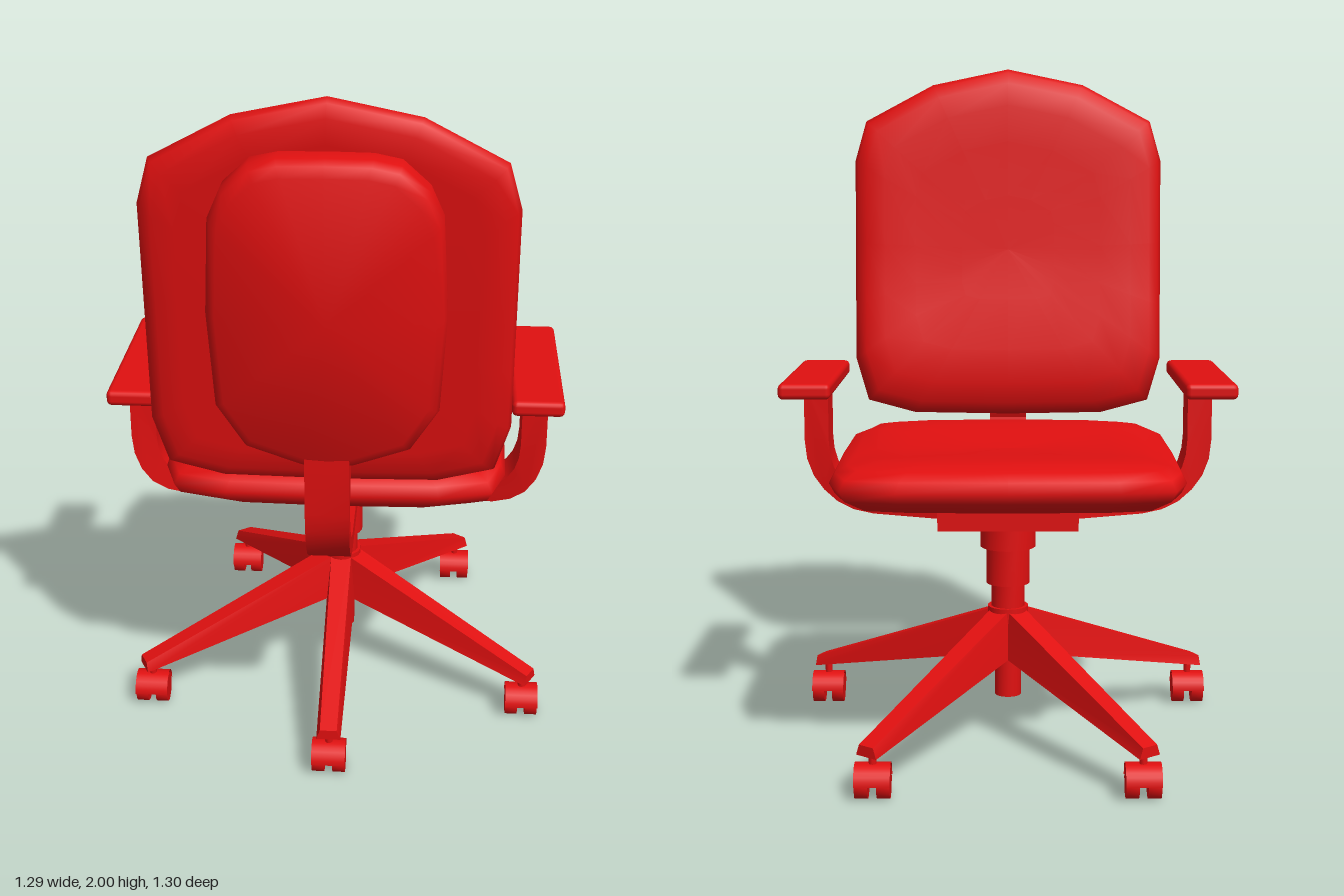
import * as THREE from 'three';
import { RoundedBoxGeometry } from 'three/addons/geometries/RoundedBoxGeometry.js';
import { toCreasedNormals } from 'three/addons/utils/BufferGeometryUtils.js';

const red = new THREE.MeshStandardMaterial({ color: 0xe01010 });
const redThin = new THREE.MeshStandardMaterial({ color: 0xe01010, side: THREE.DoubleSide });
const AXIS_Z = -0.09; // the gas lift stands slightly off the origin

function add(parent, name, geometry, x = 0, y = 0, z = 0, material = red) {
  const mesh = new THREE.Mesh(geometry, material);
  mesh.name = name;
  mesh.position.set(x, y, z);
  parent.add(mesh);
  return mesh;
}

// Mirror the right half of an outline (bottom to top) into a closed loop
function mirrored(half) {
  const left = half.filter(([x]) => x > 0).map(([x, y]) => [-x, y]).reverse();
  return [...half, ...left];
}

// Stack scaled copies of an outline; layers are [scale, height], place() puts points in space
function pad(outline, centreV, layers, place) {
  const pos = [], index = [], n = outline.length;
  for (const [s, h] of layers)
    for (const [u, v] of outline) pos.push(...place(u * s, centreV + (v - centreV) * s, h));
  for (let i = 0; i < layers.length - 1; i++)
    for (let j = 0; j < n; j++) {
      const a = i * n + j, b = i * n + (j + 1) % n;
      index.push(a, b, b + n, a, b + n, a + n);
    }
  const g = new THREE.BufferGeometry();
  g.setAttribute('position', new THREE.Float32BufferAttribute(pos, 3));
  g.setIndex(index);
  g.computeVertexNormals();
  return g;
}

// Tapered star leg running along +z from the hub
function legGeometry(length) {
  const g = new THREE.BoxGeometry(1, 1, 1);
  const p = g.attributes.position;
  for (let i = 0; i < p.count; i++) {
    const tip = p.getZ(i) > 0, top = p.getY(i) > 0;
    const half = (tip ? 0.035 : 0.045) * (top ? 0.7 : 1);
    p.setXYZ(i, Math.sign(p.getX(i)) * half,
      tip ? (top ? 0.155 : 0.125) : (top ? 0.4 : 0.26), tip ? length : 0.02);
  }
  g.computeVertexNormals();
  return g;
}

function makeCaster() {
  const caster = new THREE.Group();
  caster.name = 'caster';
  for (const s of [-1, 1])
    add(caster, 'wheel', toCreasedNormals(
      new THREE.CylinderGeometry(0.044, 0.044, 0.036, 14).rotateZ(Math.PI / 2), 0.7), s * 0.03, 0.047);
  add(caster, 'hood', new THREE.CylinderGeometry(0.051, 0.051, 0.098, 12, 1, true, 0, Math.PI)
    .rotateZ(Math.PI / 2), 0, 0.05, 0, redThin);
  add(caster, 'axle', new THREE.BoxGeometry(0.03, 0.04, 0.03), 0, 0.07);
  add(caster, 'stem', new THREE.CylinderGeometry(0.011, 0.011, 0.05, 8), 0, 0.12);
  return caster;
}

function makeArm() {
  const arm = new THREE.Group();
  arm.name = 'arm';
  add(arm, 'armPad', new RoundedBoxGeometry(0.148, 0.045, 0.588, 2, 0.015), 0.572, 1.067, -0.005);
  // J-shaped support, skewed toward the lift as it runs inward
  const s = new THREE.Shape();
  s.moveTo(0.1, 0.668);
  s.lineTo(0.4, 0.668);
  s.bezierCurveTo(0.53, 0.67, 0.61, 0.76, 0.61, 0.88);
  s.lineTo(0.61, 1.06);
  s.lineTo(0.537, 1.06);
  s.lineTo(0.537, 0.88);
  s.bezierCurveTo(0.537, 0.79, 0.49, 0.722, 0.4, 0.72);
  s.lineTo(0.1, 0.72);
  const g = new THREE.ExtrudeGeometry(s, { depth: 0.125, bevelEnabled: false, curveSegments: 6 });
  const p = g.attributes.position;
  for (let i = 0; i < p.count; i++) {
    const inward = Math.max(0, 0.56 - p.getX(i));
    p.setZ(i, p.getZ(i) + 0.01 - 0.38 * inward);
  }
  add(arm, 'armSupport', toCreasedNormals(g, 0.6), 0, 0, 0);
  return arm;
}

export function createModel() {
  const chair = new THREE.Group();
  chair.name = 'officeChair';

  // Seat cushion with a shallow dip across the middle
  const seat = mirrored([[0, -0.398], [0.3, -0.39], [0.45, -0.35], [0.49, -0.23], [0.495, 0.1],
    [0.49, 0.43], [0.45, 0.555], [0.3, 0.585], [0, 0.59]]);
  add(chair, 'seatCushion', pad(seat, 0.093,
    [[0, -0.065], [0.6, -0.065], [0.86, -0.065], [0.97, -0.03], [1, 0], [0.97, 0.028], [0.9, 0.05],
      [0.78, 0.066], [0.6, 0.068], [0.3, 0.068], [0, 0.068]],
    (x, v, h) => [x, 0.835 + h - (h > 0.04 ? 0.03 * Math.exp(-(((v - 0.093) / 0.25) ** 2)) : 0), -v]));

  // Reclined back cushion, fuller at the lumbar
  const back = mirrored([[0, 0.9], [0.3, 0.905], [0.45, 0.945], [0.49, 1.08], [0.49, 1.25], [0.49, 1.45],
    [0.49, 1.71], [0.455, 1.835], [0.24, 1.95], [0, 2]]);
  add(chair, 'backCushion', pad(back, 1.43,
    [[0, -0.045], [0.3, -0.045], [0.6, -0.047], [0.8, -0.05], [0.92, -0.04], [0.98, -0.02], [1, 0],
      [0.98, 0.025], [0.92, 0.045], [0.8, 0.05], [0, 0.05]],
    (x, y, h) => [x, y, 0.41 + 0.095 * (y - 0.95) + h
      - (h < -0.01 ? 0.028 * Math.exp(-(((y - 1.1) / 0.17) ** 2)) : 0)]));

  // Rear shell behind the cushion
  const shell = mirrored([[0, 1], [0.07, 1.005], [0.22, 1.06], [0.295, 1.18], [0.31, 1.45], [0.295, 1.71],
    [0.26, 1.79], [0.19, 1.855], [0.12, 1.87], [0, 1.872]]);
  add(chair, 'backShell', toCreasedNormals(pad(shell, 1.43,
    [[0, -0.053], [1, -0.053], [1, 0.01], [0.97, 0.038], [0.91, 0.052], [0, 0.053]],
    (x, y, h) => [x, y, 0.522 + 0.09 * (y - 1) + h]), 0.8));

  // Curved spine bar joining the shell to the mechanism
  const bar = new THREE.Shape();
  bar.moveTo(-0.05, 0.666);
  bar.lineTo(0.4, 0.666);
  bar.bezierCurveTo(0.5, 0.67, 0.57, 0.77, 0.572, 0.87);
  bar.lineTo(0.575, 1.04);
  bar.lineTo(0.48, 1.04);
  bar.lineTo(0.483, 0.99);
  bar.lineTo(0.527, 0.87);
  bar.bezierCurveTo(0.52, 0.79, 0.46, 0.72, 0.395, 0.72);
  bar.lineTo(-0.05, 0.72);
  const spine = new THREE.ExtrudeGeometry(bar, { depth: 0.12, bevelEnabled: false, curveSegments: 5 });
  spine.translate(0, 0, -0.06).rotateY(-Math.PI / 2);
  add(chair, 'spineBar', toCreasedNormals(spine, 0.5));

  // Tilt mechanism under the seat
  add(chair, 'mechanism', new THREE.BoxGeometry(0.4, 0.105, 0.4), 0, 0.722, -0.1);

  // Arms, the second one mirrored
  const leftArm = makeArm();
  leftArm.name = 'leftArm';
  const rightArm = makeArm();
  rightArm.name = 'rightArm';
  rightArm.scale.x = -1;
  chair.add(leftArm, rightArm);

  // Gas lift: [name, radius, bottom, top]
  for (const [name, r, y0, y1] of [['liftCollar', 0.082, 0.58, 0.68], ['liftSleeve', 0.065, 0.47, 0.58],
    ['liftPiston', 0.05, 0.39, 0.47], ['baseHub', 0.06, 0.26, 0.4], ['liftTail', 0.04, 0.127, 0.3]])
    add(chair, name, toCreasedNormals(new THREE.CylinderGeometry(r, r, y1 - y0, 18), 0.7),
      0, (y0 + y1) / 2, AXIS_Z);

  // Five-legged base with twin-wheel casters
  for (const [x, z] of [[0, 0.525], [0.57, 0.205], [-0.57, 0.205], [0.365, -0.6], [-0.365, -0.6]]) {
    const dz = z - AXIS_Z;
    const leg = add(chair, 'baseLeg', legGeometry(Math.hypot(x, dz) + 0.027), 0, 0, AXIS_Z);
    leg.rotation.y = Math.atan2(x, dz);
    const caster = makeCaster();
    caster.position.set(x, 0, z);
    chair.add(caster);
  }
  return chair;
}
